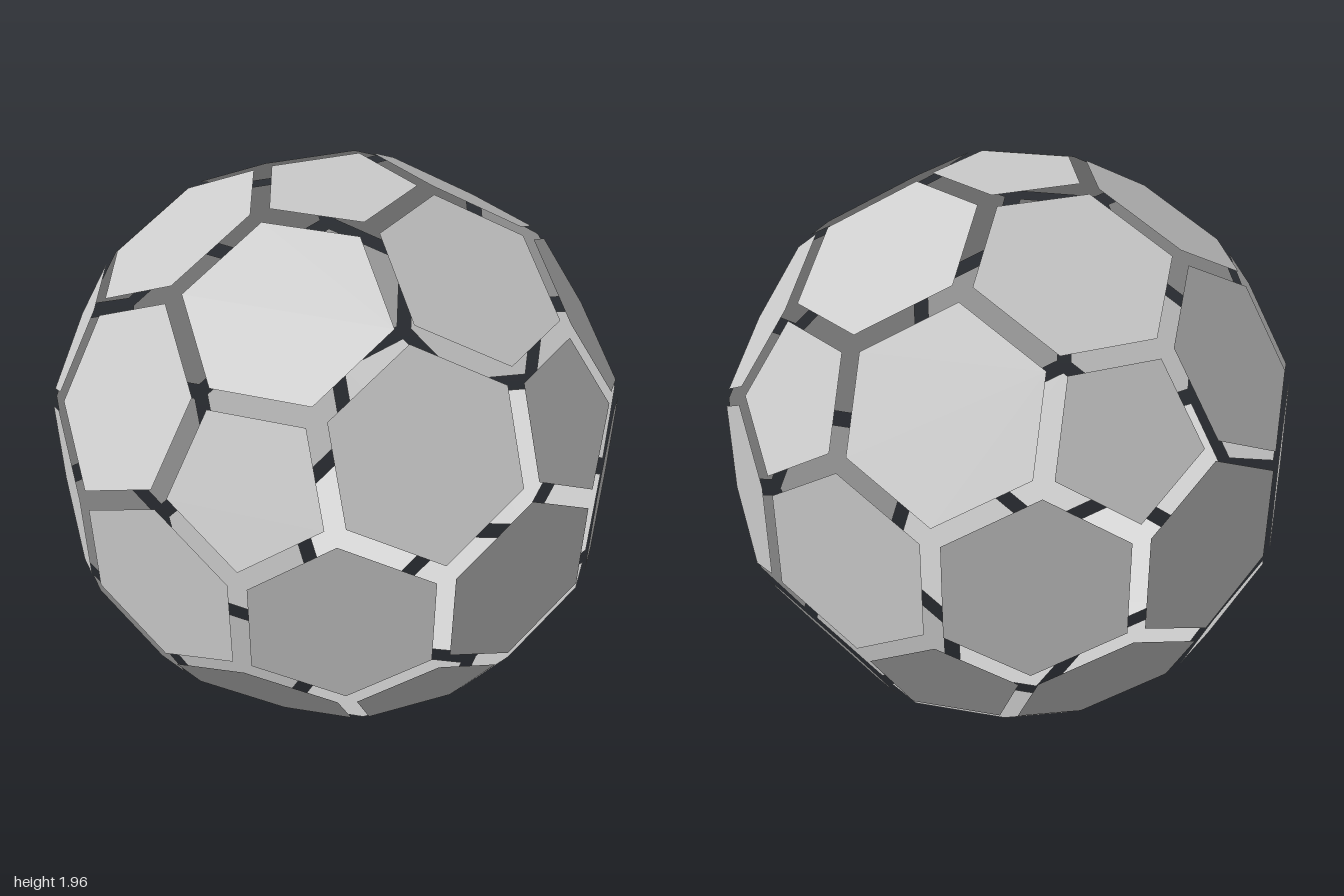
import * as THREE from 'three';

// Open sphere of 12 pentagon and 30 hexagon panels, every panel pulled in from its neighbours
const GAP = 0.032;                 // inset of each panel edge
const RHO = 1.01;                  // sphere touched by all seams
const HEX_ANGLE = Math.PI / 10;    // half the angle between two hexagon axes
const PENT_ANGLE = Math.atan((Math.sqrt(5) - 1) / 2) - HEX_ANGLE;

const material = new THREE.MeshStandardMaterial({
  color: 0xcccccc, flatShading: true, side: THREE.DoubleSide,
});

// Axes of the pentagons: poles plus two staggered rings of five
function pentagonAxes() {
  const axes = [new THREE.Vector3(0, 1, 0)];
  for (let k = 0; k < 5; k++) {
    const a = THREE.MathUtils.degToRad(18 + 72 * k);
    axes.push(new THREE.Vector3(2 * Math.sin(a), 1, 2 * Math.cos(a)).normalize());
  }
  return axes.concat(axes.map((v) => v.clone().negate()));
}

// Axes of the hexagons: halfway between neighbouring pentagons
function hexagonAxes(pents) {
  const axes = [];
  pents.forEach((p, i) => pents.slice(i + 1).forEach((q) => {
    if (p.dot(q) > 0.4) axes.push(p.clone().add(q).normalize());
  }));
  return axes;
}

// Flat panel around an axis, with one edge facing each neighbouring axis
function panelGeometry(axis, allAxes, angle) {
  const distance = RHO * Math.cos(angle);
  const apothem = RHO * Math.sin(angle) - GAP;
  const tangents = allAxes
    .filter((n) => n !== axis && n.dot(axis) > 0.8)
    .map((n) => n.clone().addScaledVector(axis, -n.dot(axis)).normalize());
  const u = tangents[0].clone();
  const v = axis.clone().cross(u);
  const turn = (t) => Math.atan2(t.dot(v), t.dot(u));
  tangents.sort((a, b) => turn(a) - turn(b));

  const centre = axis.clone().multiplyScalar(distance);
  const corners = tangents.map((t, i) => {
    const next = tangents[(i + 1) % tangents.length];
    return t.clone().add(next).multiplyScalar(apothem / (1 + t.dot(next))).add(centre);
  });
  const geometry = new THREE.BufferGeometry().setFromPoints(corners);
  const index = [];
  for (let i = 1; i < corners.length - 1; i++) index.push(0, i, i + 1);
  geometry.setIndex(index);
  geometry.computeVertexNormals();
  return geometry;
}

export function createModel() {
  const model = new THREE.Group();
  model.name = 'panelSphere';
  const pents = pentagonAxes();
  const hexes = hexagonAxes(pents);
  const all = [...pents, ...hexes];

  const addPanels = (name, axes, angle) => {
    const group = new THREE.Group();
    group.name = name + 's';
    axes.forEach((axis, i) => {
      const mesh = new THREE.Mesh(panelGeometry(axis, all, angle), material);
      mesh.name = name + (i + 1);
      group.add(mesh);
    });
    model.add(group);
  };
  addPanels('pentagonPanel', pents, PENT_ANGLE);
  addPanels('hexagonPanel', hexes, HEX_ANGLE);

  // Rest the bottom pentagon on the ground
  for (const group of model.children) group.position.y = RHO * Math.cos(PENT_ANGLE);
  return model;
}
